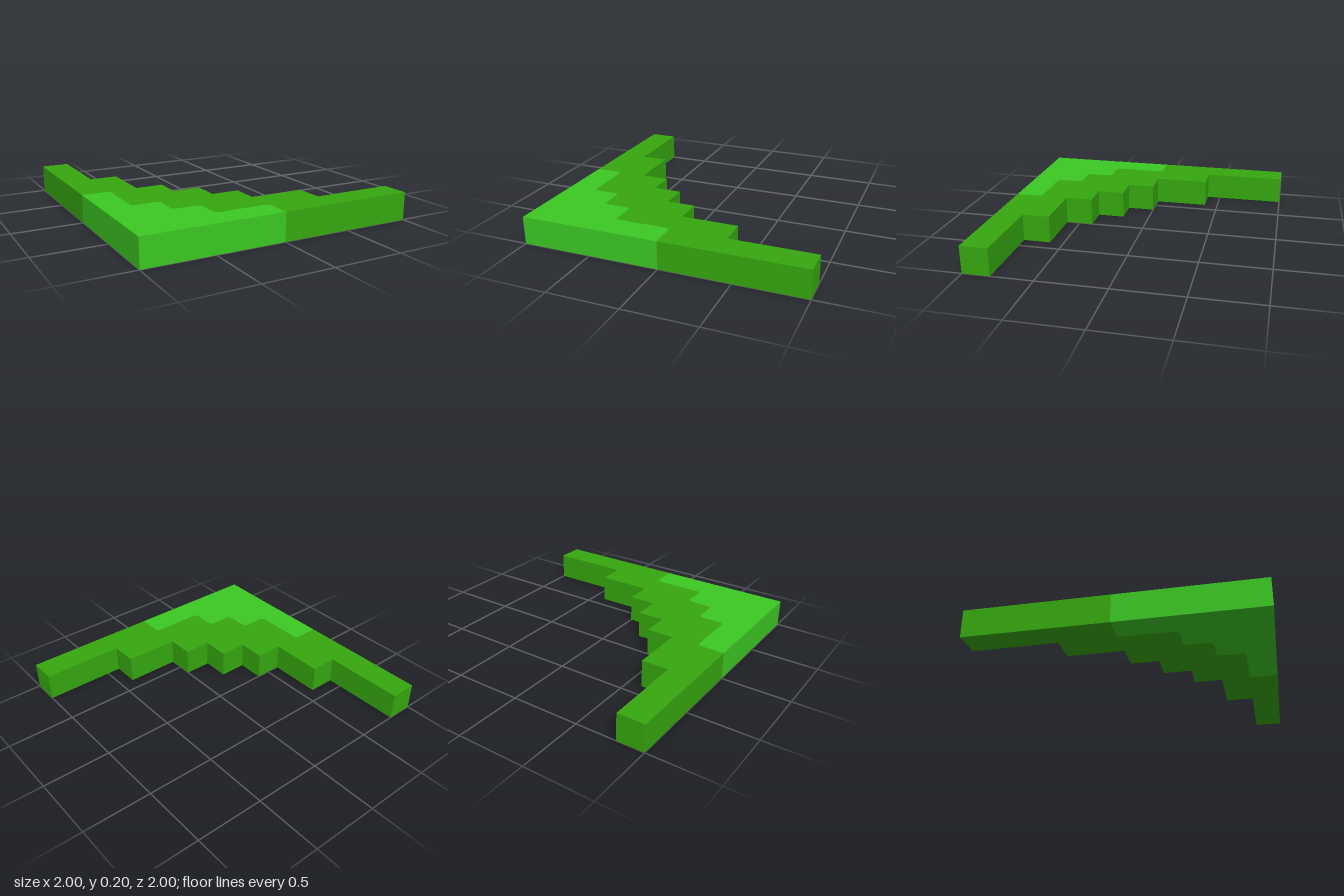
import * as THREE from 'three';

const HEIGHT = 0.2;

// Extrude an outline of [x, z] points upward from y = 0.
function slab(name, outline, material) {
  const shape = new THREE.Shape(outline.map(([x, z]) => new THREE.Vector2(x, -z)));
  const geometry = new THREE.ExtrudeGeometry(shape, { depth: HEIGHT, bevelEnabled: false });
  geometry.rotateX(-Math.PI / 2);
  const mesh = new THREE.Mesh(geometry, material);
  mesh.name = name;
  return mesh;
}

// Turn alternating right and down runs into a staircase of [x, z] points.
function stairs(x, z, runs) {
  const points = [[x, z]];
  runs.forEach((run, i) => {
    if (i % 2 === 0) x += run;
    else z += run;
    points.push([x, z]);
  });
  return points;
}

// Cut a small chamfer off every inner point of a path.
function chamfer(path, size) {
  const toward = (a, b) => {
    const d = Math.hypot(b[0] - a[0], b[1] - a[1]);
    return [a[0] + (b[0] - a[0]) * size / d, a[1] + (b[1] - a[1]) * size / d];
  };
  return path.flatMap((p, i) =>
    i === 0 || i === path.length - 1 ? [p] : [toward(p, path[i - 1]), toward(p, path[i + 1])]);
}

export function createModel() {
  const brightGreen = new THREE.MeshStandardMaterial({ color: 0x3cc823 });
  brightGreen.name = 'bright green';
  const deepGreen = new THREE.MeshStandardMaterial({ color: 0x36a80f });
  deepGreen.name = 'deep green';

  // Stepped edge on the open side, and the colour border parallel to it
  const outerSteps = stairs(-1, -1, [0.2, 0.6, 0.2, 0.4, 0.2, 0.2, 0.2, 0.2, 0.2, 0.2, 0.4, 0.2, 0.6, 0.2]);
  const border = chamfer(stairs(-1, 0, [0.2, 0.4, 0.2, 0.2, 0.2, 0.2, 0.4, 0.2]), 0.02);

  const group = new THREE.Group();
  group.name = 'steppedCorner';
  group.add(slab('cornerPatch', [...border, [-1, 1]], brightGreen));
  group.add(slab('steppedBand', [...outerSteps, ...[...border].reverse()], deepGreen));
  return group;
}
